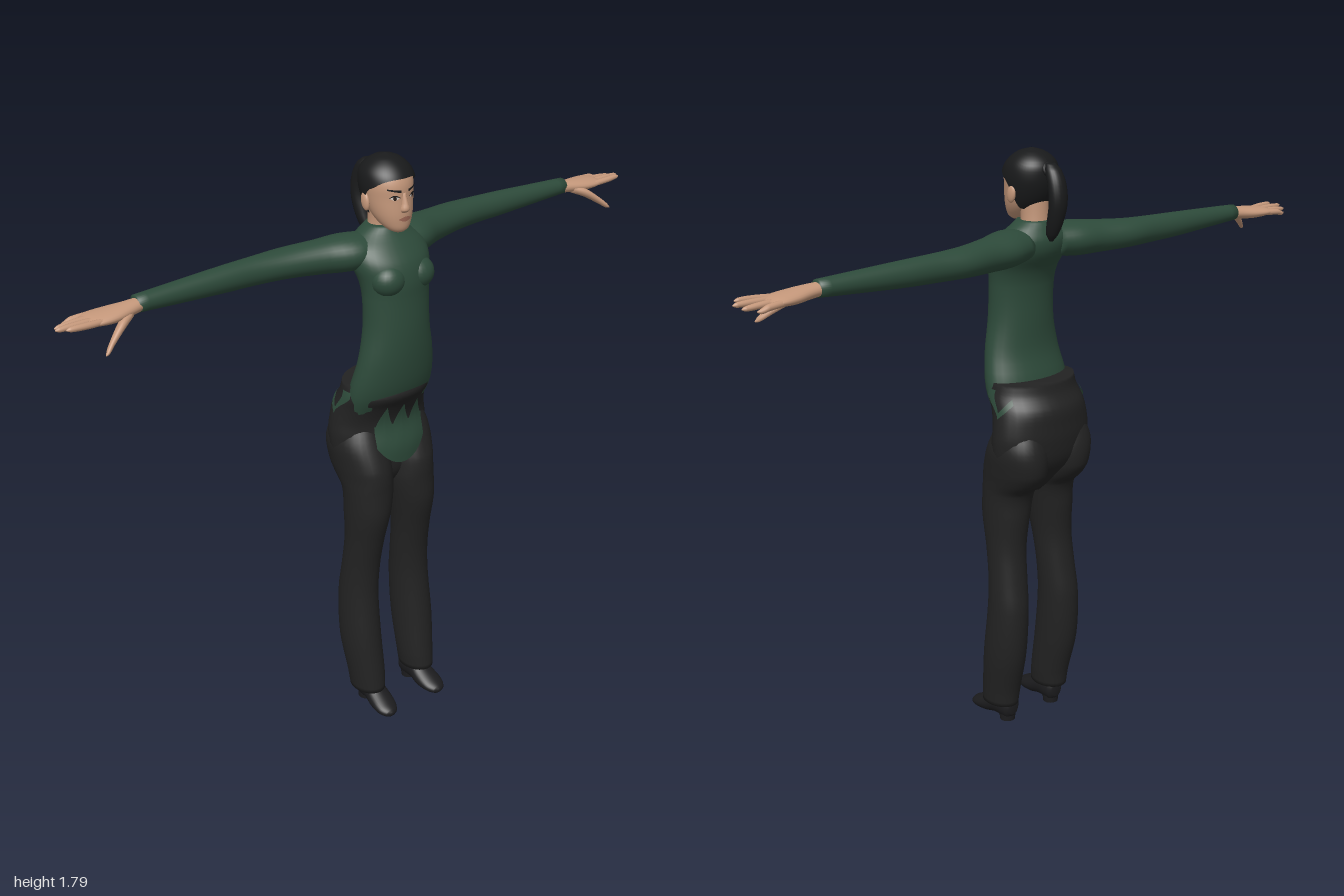
import * as THREE from 'three';

const mat = (name, color, side = THREE.FrontSide) => {
  const m = new THREE.MeshStandardMaterial({ color, side });
  m.name = name;
  return m;
};

// Smoothly interpolated section [t, c1, c2, r1, r2] at position t
function sectionAt(rows, t) {
  let i = 0;
  while (i < rows.length - 2 && t > rows[i + 1][0]) i++;
  const slope = (k, c) => {
    const a = rows[Math.max(k - 1, 0)], b = rows[Math.min(k + 1, rows.length - 1)];
    return (b[c] - a[c]) / (b[0] - a[0]);
  };
  const p = rows[i], q = rows[i + 1], h = q[0] - p[0];
  const s = Math.min(Math.max((t - p[0]) / h, 0), 1), s2 = s * s, s3 = s2 * s;
  const out = [t];
  for (let c = 1; c < 5; c++) {
    const v = (2 * s3 - 3 * s2 + 1) * p[c] + (s3 - 2 * s2 + s) * h * slope(i, c)
      + (3 * s2 - 2 * s3) * q[c] + (s3 - s2) * h * slope(i + 1, c);
    out.push(c > 2 ? Math.max(v, 0.001) : v);
  }
  return out;
}

// Point on a section; angle 0 is the front (or top for axis z)
function ringPoint([t, c1, c2, r1, r2], a, axis) {
  const u = c1 + r1 * Math.sin(a), v = c2 + r2 * Math.cos(a);
  return axis === 'y' ? [u, t, v] : axis === 'x' ? [t, u, v] : [u, v, t];
}

function build(pos, index) {
  const g = new THREE.BufferGeometry();
  g.setAttribute('position', new THREE.Float32BufferAttribute(pos, 3));
  g.setIndex(index);
  g.computeVertexNormals();
  return g;
}

// Closed body through elliptical sections along an axis
function loft(rows, axis = 'y', segs = 32, steps = 4) {
  const pos = [], index = [], flip = axis !== 'y';
  const tri = (a, b, c) => index.push(a, flip ? c : b, flip ? b : c);
  const count = (rows.length - 1) * steps;
  for (let k = 0; k <= count; k++) {
    const i = Math.min(Math.floor(k / steps), rows.length - 2);
    const t = rows[i][0] + (rows[i + 1][0] - rows[i][0]) * (k / steps - i);
    const sec = sectionAt(rows, t);
    for (let j = 0; j < segs; j++) pos.push(...ringPoint(sec, j / segs * Math.PI * 2, axis));
  }
  for (let k = 0; k < count; k++) for (let j = 0; j < segs; j++) {
    const a = k * segs + j, b = k * segs + (j + 1) % segs;
    tri(a, b, a + segs);
    tri(b, b + segs, a + segs);
  }
  [0, count].forEach((k) => {
    const sec = sectionAt(rows, rows[k ? rows.length - 1 : 0][0]);
    const centre = pos.length / 3;
    pos.push(...ringPoint([sec[0], sec[1], sec[2], 0, 0], 0, axis));
    for (let j = 0; j < segs; j++) {
      const a = k * segs + j, b = k * segs + (j + 1) % segs;
      if (k) tri(a, b, centre); else tri(b, a, centre);
    }
  });
  return build(pos, index);
}

// Thin sheet lying on an upright loft between two angle-dependent heights
function patch(rows, a0, a1, bottom, top, off = 0, nu = 24, nv = 8) {
  const pos = [], index = [];
  for (let i = 0; i <= nv; i++) for (let j = 0; j <= nu; j++) {
    const a = a0 + (a1 - a0) * j / nu, lo = bottom(a, j / nu), hi = top(a, j / nu);
    const s = sectionAt(rows, lo + (hi - lo) * i / nv);
    s[3] += off; s[4] += off;
    pos.push(...ringPoint(s, a, 'y'));
    if (i < nv && j < nu) {
      const p = i * (nu + 1) + j, q = p + nu + 1;
      index.push(p, p + 1, q, p + 1, q + 1, q);
    }
  }
  return build(pos, index);
}

function mirrored(geo) {
  const g = geo.clone().scale(-1, 1, 1), ix = g.index.array;
  for (let i = 0; i < ix.length; i += 3) [ix[i + 1], ix[i + 2]] = [ix[i + 2], ix[i + 1]];
  g.computeVertexNormals();
  return g;
}

export function createModel() {
  const model = new THREE.Group();
  model.name = 'standingWoman';
  const shirt = mat('green shirt', 0x2d4a3a, THREE.DoubleSide);
  const pants = mat('black trousers', 0x222222);
  const shoe = mat('dark shoe leather', 0x1c1c1e);
  const skin = mat('skin', 0xc4977a);
  const hair = mat('black hair', 0x191a1b, THREE.DoubleSide);
  const white = mat('eye white', 0xd8d0c8);
  const iris = mat('dark iris', 0x2a1c16);
  const lip = mat('lip', 0xa06a58);
  const add = (name, geo, m) => {
    const mesh = new THREE.Mesh(geo, m);
    mesh.name = name;
    model.add(mesh);
  };
  const pair = (name, geo, m) => {
    add(name + 'Left', geo, m);
    add(name + 'Right', mirrored(geo), m);
  };

  // Torso and bust
  add('torso', loft([
    [1.02, 0, 0, 0.13, 0.045], [1.1, 0, 0.015, 0.143, 0.075], [1.2, 0, 0.038, 0.127, 0.073],
    [1.3, 0, 0.042, 0.108, 0.076], [1.4, 0, 0.038, 0.106, 0.077], [1.45, 0, 0.03, 0.112, 0.084],
    [1.5, 0, 0.008, 0.125, 0.093], [1.54, 0, -0.01, 0.118, 0.082], [1.572, 0, -0.018, 0.08, 0.06],
    [1.592, 0, -0.018, 0.05, 0.048]]), shirt);
  pair('bust', new THREE.SphereGeometry(1, 24, 16).scale(0.052, 0.048, 0.05).translate(0.052, 1.455, 0.068), shirt);

  // Sleeves with cuffs
  pair('sleeve', loft([
    [0.05, 1.525, -0.025, 0.045, 0.06], [0.12, 1.523, -0.035, 0.052, 0.073], [0.2, 1.521, -0.056, 0.048, 0.057],
    [0.3, 1.52, -0.078, 0.043, 0.05], [0.4, 1.52, -0.083, 0.04, 0.038], [0.5, 1.52, -0.083, 0.037, 0.035],
    [0.65, 1.521, -0.08, 0.03, 0.029], [0.765, 1.522, -0.078, 0.024, 0.026]], 'x'), shirt);

  // Hands: palm, four fingers, thumb
  pair('palm', loft([
    [0.74, 1.521, -0.077, 0.018, 0.02], [0.79, 1.517, -0.074, 0.019, 0.03], [0.84, 1.513, -0.076, 0.019, 0.042],
    [0.89, 1.512, -0.08, 0.014, 0.045], [0.915, 1.512, -0.08, 0.006, 0.036]], 'x', 24), skin);
  [[-0.118, 0.962, 1.502], [-0.093, 0.99, 1.508], [-0.067, 1.0, 1.514], [-0.042, 0.982, 1.518]].forEach(([z, tip, y], i) => {
    pair('finger' + (i + 1), loft([
      [0.87, 1.512, -0.08 + (z + 0.08) * 0.85, 0.009, 0.01], [0.93, (1.514 + y) / 2, z, 0.009, 0.0095],
      [tip - 0.012, y, z, 0.007, 0.007], [tip, y, z, 0.002, 0.002]], 'x', 12), skin);
  });
  pair('thumb', loft([
    [0.79, 1.51, -0.06, 0.012, 0.016], [0.83, 1.495, -0.037, 0.014, 0.016], [0.87, 1.468, -0.016, 0.011, 0.011],
    [0.893, 1.45, -0.003, 0.008, 0.008], [0.903, 1.443, 0.002, 0.002, 0.002]], 'x', 14), skin);

  // Trousers
  const hips = [
    [0.77, 0, -0.01, 0.02, 0.03], [0.82, 0, -0.02, 0.1, 0.065], [0.88, 0, -0.042, 0.156, 0.09],
    [0.95, 0, -0.048, 0.168, 0.098], [1.0, 0, -0.048, 0.163, 0.098], [1.05, 0, -0.036, 0.154, 0.106],
    [1.09, 0, -0.012, 0.147, 0.106], [1.125, 0, -0.014, 0.138, 0.094]];
  add('trouserHips', loft(hips), pants);
  pair('trouserLeg', loft([
    [0.065, 0.1, 0.025, 0.05, 0.065], [0.12, 0.1, 0.018, 0.055, 0.066], [0.25, 0.104, -0.005, 0.061, 0.073],
    [0.4, 0.101, -0.017, 0.059, 0.068], [0.5, 0.096, -0.01, 0.058, 0.062], [0.6, 0.091, 0.003, 0.059, 0.065],
    [0.7, 0.085, 0.01, 0.067, 0.08], [0.78, 0.079, 0.005, 0.074, 0.085], [0.82, 0.079, -0.015, 0.077, 0.105],
    [0.86, 0.081, -0.03, 0.08, 0.114], [0.93, 0.084, -0.045, 0.081, 0.1], [1.0, 0.08, -0.05, 0.06, 0.07]]), pants);

  // Shirt tail showing at the front and hips
  const tail = [[0.85, 0, -0.04, 0.165, 0.122], [0.92, 0, -0.04, 0.165, 0.124], [1.0, 0, -0.04, 0.165, 0.106], [1.08, 0, -0.036, 0.155, 0.125]];
  const zigzag = (a) => Math.abs(((Math.abs(a) * 5.5) % 2) - 1);
  add('shirtTail', patch(tail, -0.56, 0.56, (a) => 0.868 + 0.19 * a * a, (a) => 0.99 + 0.07 * zigzag(a + 0.001), 0, 40), shirt);
  pair('hipShirtFold', patch(hips, 1.35, 1.65, (a, u) => 1.09 - 0.06 * u, () => 1.11, 0.005), shirt);
  pair('hipShirtStreak', patch(hips, 1.6, 2.15, (a, u) => 1.03 + 0.045 * u, (a, u) => 1.045 + 0.045 * u, 0.005), shirt);

  // Shoes with low heels
  pair('shoe', loft([
    [-0.028, 0.09, 0.05, 0.018, 0.024], [-0.012, 0.09, 0.05, 0.031, 0.042], [0.04, 0.092, 0.048, 0.034, 0.04],
    [0.08, 0.094, 0.032, 0.039, 0.032], [0.12, 0.097, 0.021, 0.036, 0.021], [0.145, 0.098, 0.015, 0.022, 0.013],
    [0.153, 0.098, 0.014, 0.006, 0.005]], 'z'), shoe);
  pair('shoeHeel', new THREE.CylinderGeometry(0.027, 0.024, 0.04, 20).translate(0.09, 0.02, 0.003), shoe);

  // Neck, head, nose and ears
  add('neck', loft([[1.54, 0, -0.025, 0.046, 0.042], [1.6, 0, -0.022, 0.041, 0.04], [1.66, 0, -0.015, 0.045, 0.045]]), skin);
  const head = [
    [1.583, 0, 0.052, 0.016, 0.014], [1.592, 0, 0.045, 0.032, 0.031], [1.612, 0, 0.03, 0.048, 0.05],
    [1.64, 0, 0.016, 0.06, 0.065], [1.68, 0, 0.004, 0.068, 0.074], [1.72, 0, -0.001, 0.071, 0.077],
    [1.755, 0, -0.007, 0.061, 0.065], [1.779, 0, -0.008, 0.028, 0.03]];
  add('head', loft(head), skin);
  add('nose', loft([
    [1.643, 0, 0.077, 0.011, 0.006], [1.652, 0, 0.077, 0.015, 0.016], [1.67, 0, 0.075, 0.01, 0.014],
    [1.698, 0, 0.07, 0.007, 0.009]], 'y', 16), skin);
  pair('ear', new THREE.SphereGeometry(1, 16, 12).scale(0.009, 0.026, 0.016).rotateX(-0.2).translate(0.072, 1.668, -0.005), skin);

  // Face details
  const arch = (a0, a1, y, h) => [() => y, (a) => y + h * Math.sin(Math.PI * (a - a0) / (a1 - a0))];
  const almond = (a0, a1, y, h) => [(a) => y - arch(a0, a1, 0, h)[1](a), arch(a0, a1, y, h)[1]];
  pair('eyeWhite', patch(head, 0.25, 0.62, ...almond(0.25, 0.62, 1.686, 0.006), 0.0015), white);
  pair('eyeIris', patch(head, 0.36, 0.52, ...almond(0.36, 0.52, 1.686, 0.0065), 0.0025), iris);
  pair('eyeLid', patch(head, 0.23, 0.65, (a) => 1.686 + 0.005 * Math.sin(Math.PI * (a - 0.23) / 0.42), (a) => 1.688 + 0.007 * Math.sin(Math.PI * (a - 0.23) / 0.42), 0.003), hair);
  pair('eyebrow', patch(head, 0.17, 0.72, (a, u) => 1.7 + 0.009 * u, (a, u) => 1.707 + 0.006 * u, 0.002), hair);
  add('lips', patch(head, -0.4, 0.4, ...almond(-0.4, 0.4, 1.625, 0.007), 0.002), lip);

  // Hair drawn back into a ponytail
  const cap = [...head.slice(0, -1).map(([y, x, z, rx, rz]) => [y, x, z, rx + 0.007, rz + 0.007]),
    [1.782, 0, -0.008, 0.036, 0.038], [1.792, 0, -0.008, 0.001, 0.001]];
  const hairline = (a) => {
    const t = Math.abs(a);
    return t < 1.2 ? 1.738 - 0.025 * (t / 1.2) ** 3 : 1.713 - 0.088 * THREE.MathUtils.smoothstep(t, 1.2, 2.3);
  };
  add('hairCap', patch(cap, -Math.PI, Math.PI, hairline, () => 1.792, 0, 56, 20), hair);
  add('ponytail', loft([
    [1.538, 0, -0.092, 0.005, 0.006], [1.56, 0, -0.097, 0.016, 0.02], [1.6, 0, -0.111, 0.024, 0.024],
    [1.65, 0, -0.122, 0.028, 0.024], [1.7, 0, -0.117, 0.028, 0.024], [1.74, 0, -0.1, 0.023, 0.023],
    [1.757, 0, -0.088, 0.014, 0.014]], 'y', 20), hair);
  add('hairTie', new THREE.TorusGeometry(0.018, 0.006, 10, 20).rotateX(0.4).translate(0, 1.738, -0.085), hair);
  return model;
}
